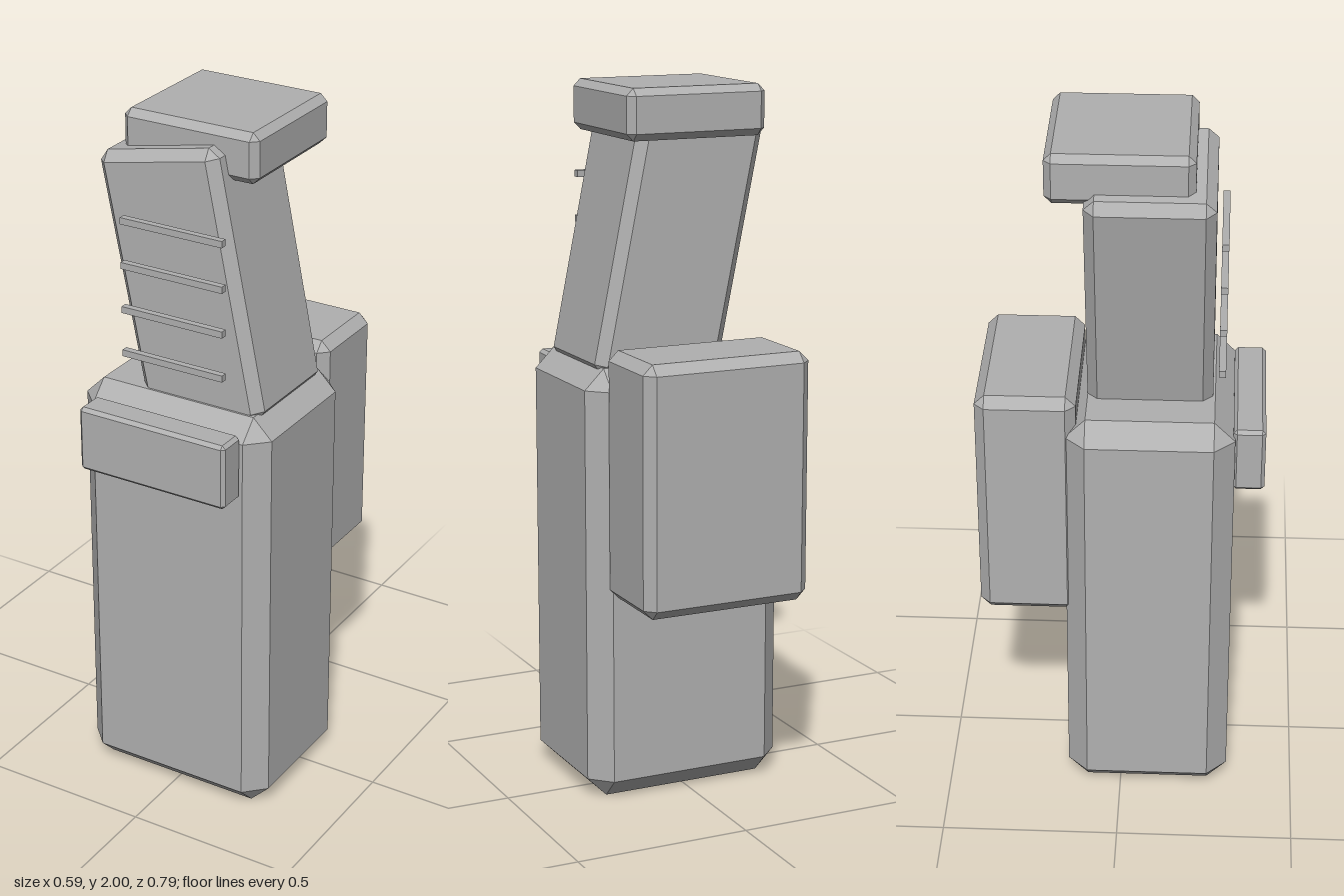
import * as THREE from 'three';
import { ConvexGeometry } from 'three/addons/geometries/ConvexGeometry.js';

// Box with chamfered edges and triangular corners, centred on the origin
function chamferBox(w, h, d, c) {
  const points = [];
  for (const x of [-1, 1]) for (const y of [-1, 1]) for (const z of [-1, 1]) {
    for (let axis = 0; axis < 3; axis++) {
      const inset = [c, c, c];
      inset[axis] = 0;
      points.push(new THREE.Vector3(
        x * (w / 2 - inset[0]), y * (h / 2 - inset[1]), z * (d / 2 - inset[2])));
    }
  }
  return new ConvexGeometry(points);
}

export function createModel() {
  const model = new THREE.Group();
  model.name = 'model';
  const grey = new THREE.MeshStandardMaterial({ color: 0xb0b0b0 });
  grey.name = 'grey';

  function add(name, geometry, x, y, z) {
    const mesh = new THREE.Mesh(geometry, grey);
    mesh.name = name;
    mesh.position.set(x, y, z);
    model.add(mesh);
    return mesh;
  }

  // Tall main body
  add('body', chamferBox(0.59, 1.236, 0.463, 0.057), 0, 0.618, 0.0785);

  // Pack on the back
  add('backPack', chamferBox(0.494, 0.7, 0.275, 0.028), 0, 0.945, -0.2595);

  // Plate on the upper front
  add('frontPlate', chamferBox(0.46, 0.19, 0.088, 0.01), 0, 1.11, 0.349);

  // Leaning neck
  const neck = add('neck', chamferBox(0.374, 0.758, 0.344, 0.028), 0, 1.55, 0.075);
  neck.rotation.z = 0.2;

  // Cap on top
  add('cap', chamferBox(0.41, 0.14, 0.392, 0.02), 0, 1.93, -0.004);

  // Row of thin bars in front of the neck
  const bar = new THREE.BoxGeometry(0.314, 0.019, 0.019);
  for (let i = 0; i < 4; i++) add('bar' + (i + 1), bar, 0, 1.34 + i * 0.128, 0.271);

  return model;
}
